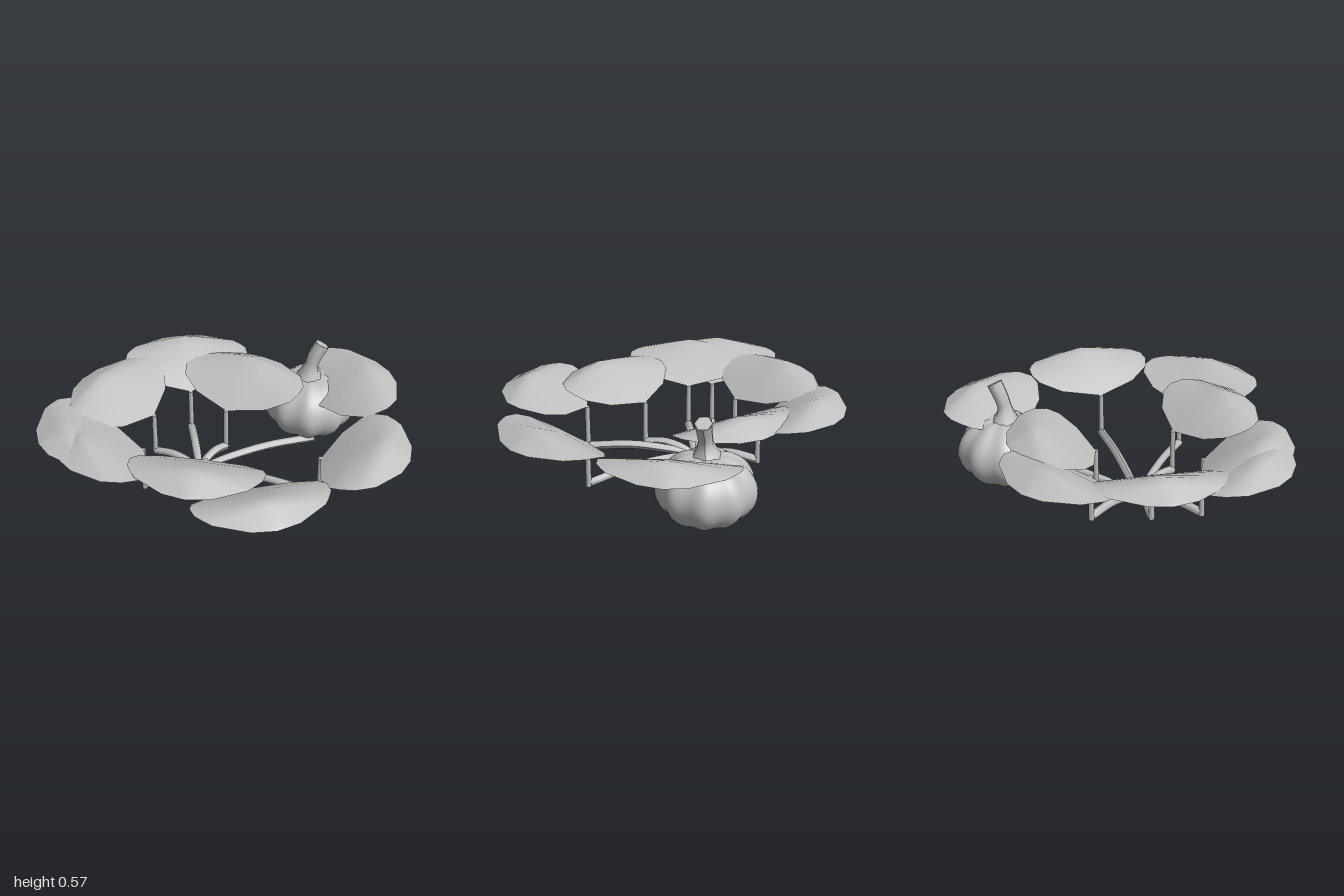
import * as THREE from 'three';
import { mergeVertices } from 'three/addons/utils/BufferGeometryUtils.js';

const grey = new THREE.MeshStandardMaterial({ color: 0xc0c0c0, side: THREE.DoubleSide });
grey.name = 'plain grey';

const HUB = new THREE.Vector3(-0.14, 0.03, -0.12);

// Leaf rows from stalk to outer end: distance, half width, ridge height, edge height
const LEAF_ROWS = [
  [0, 0, 0.29, 0.29], [0.055, 0.21, 0.325, 0.325], [0.13, 0.32, 0.372, 0.365],
  [0.19, 0.345, 0.405, 0.388], [0.26, 0.34, 0.44, 0.397], [0.31, 0.31, 0.458, 0.398],
  [0.35, 0.28, 0.445, 0.396], [0.44, 0.12, 0.398, 0.388], [0.46, 0, 0.385, 0.385],
];

// Stalk x, stalk z, leaf direction x, leaf direction z
const LEAVES = [
  [-0.04, -0.465, 0.3, -0.95],
  [-0.31, -0.33, -0.6, -0.8],
  [-0.525, -0.19, -1, -0.03],
  [-0.475, -0.06, -1, 0.06],
  [-0.215, 0.155, -0.58, 0.81],
  [-0.125, 0.46, -0.13, 0.99],
  [0.325, 0.385, 0.72, 0.69],
  [0.06, -0.21, 0.78, -0.63],
  [0.53, -0.08, 1, 0.03],
];

function add(group, geometry, name) {
  const mesh = new THREE.Mesh(geometry, grey);
  mesh.name = name;
  group.add(mesh);
  return mesh;
}

// Tube whose radius follows a rule along its length
function taperedTube(points, steps, sides, radiusAt) {
  const path = new THREE.CatmullRomCurve3(points);
  const geo = new THREE.TubeGeometry(path, steps, 1, sides);
  const pos = geo.attributes.position;
  const v = new THREE.Vector3();
  for (let i = 0; i < pos.count; i++) {
    const t = Math.floor(i / (sides + 1)) / steps;
    const c = path.getPointAt(t);
    v.fromBufferAttribute(pos, i).sub(c).multiplyScalar(radiusAt(t)).add(c);
    pos.setXYZ(i, v.x, v.y, v.z);
  }
  geo.computeVertexNormals();
  return geo;
}

// Tent-shaped blade with a ridge along the middle
function leafGeometry() {
  const cols = 8, pos = [], index = [];
  LEAF_ROWS.forEach(([u, w, ridge, edge], i) => {
    for (let j = 0; j <= cols; j++) {
      const s = (j / cols) * 2 - 1;
      pos.push(u, ridge + (edge - ridge) * Math.abs(s) ** 1.15, s * w);
      if (i < LEAF_ROWS.length - 1 && j < cols) {
        const a = i * (cols + 1) + j, c = a + cols + 1;
        if (i > 0) index.push(a, a + 1, c);
        if (i < LEAF_ROWS.length - 2) index.push(a + 1, c + 1, c);
        if (i === 0) continue;
      }
    }
  });
  const geo = new THREE.BufferGeometry();
  geo.setAttribute('position', new THREE.Float32BufferAttribute(pos, 3));
  geo.setIndex(index);
  geo.computeVertexNormals();
  return geo;
}

// Ribbed, flattened globe with dimples at both poles
function pumpkinGeometry() {
  let geo = new THREE.SphereGeometry(1, 64, 24);
  geo.deleteAttribute('uv');
  geo.deleteAttribute('normal');
  geo = mergeVertices(geo);
  const pos = geo.attributes.position;
  for (let i = 0; i < pos.count; i++) {
    const x = pos.getX(i), y = pos.getY(i), z = pos.getZ(i);
    const ring = Math.hypot(x, z);
    const rib = 1 + 0.035 * Math.cos(9 * Math.atan2(z, x)) * ring;
    const dimple = 1 - 0.12 * Math.max(0, 1 - ring / 0.45);
    pos.setXYZ(i, x * 0.244 * rib, y * 0.188 * dimple * rib, z * 0.244 * rib);
  }
  geo.computeVertexNormals();
  return geo;
}

export function createModel() {
  const model = new THREE.Group();
  model.name = 'pumpkinPlant';
  const blade = leafGeometry();

  for (const [x, z, dx, dz] of LEAVES) {
    const plant = new THREE.Group();
    plant.name = 'leafBranch';
    model.add(plant);

    // Creeping vine arching from the hub to the stalk
    const end = new THREE.Vector3(x, 0.06, z);
    const at = (t, y) => HUB.clone().lerp(end, t).setY(y);
    add(plant, taperedTube([HUB, at(0.3, 0.06), at(0.6, 0.075), end], 10, 6,
      (t) => 0.014 + 0.009 * Math.min(1, t * 4)), 'vine');

    // Upright stalk
    const stalk = add(plant, new THREE.CylinderGeometry(0.013, 0.015, 0.25, 6), 'stalk');
    stalk.position.set(x, 0.167, z);

    const leaf = add(plant, blade, 'leaf');
    leaf.position.set(x, 0, z);
    leaf.rotation.y = -Math.atan2(dz, dx);
  }

  // Pumpkin resting on the ground
  const pumpkin = add(model, pumpkinGeometry(), 'pumpkin');
  pumpkin.position.set(0.587, 0.197, -0.237);

  // Bent stem, flared at the base
  const stem = [[0.575, 0.34, -0.235], [0.58, 0.42, -0.23], [0.597, 0.48, -0.228], [0.642, 0.56, -0.222]]
    .map((p) => new THREE.Vector3(...p));
  add(model, taperedTube(stem, 10, 6,
    (t) => 0.036 + 0.06 * Math.max(0, 1 - t * 2.2) ** 1.5 + 0.008 * t), 'pumpkinStem');
  const cap = add(model, new THREE.CircleGeometry(0.044, 6), 'stemCap');
  cap.position.copy(stem[3]);
  cap.quaternion.setFromUnitVectors(new THREE.Vector3(0, 0, 1),
    new THREE.CatmullRomCurve3(stem).getTangentAt(1));

  return model;
}
